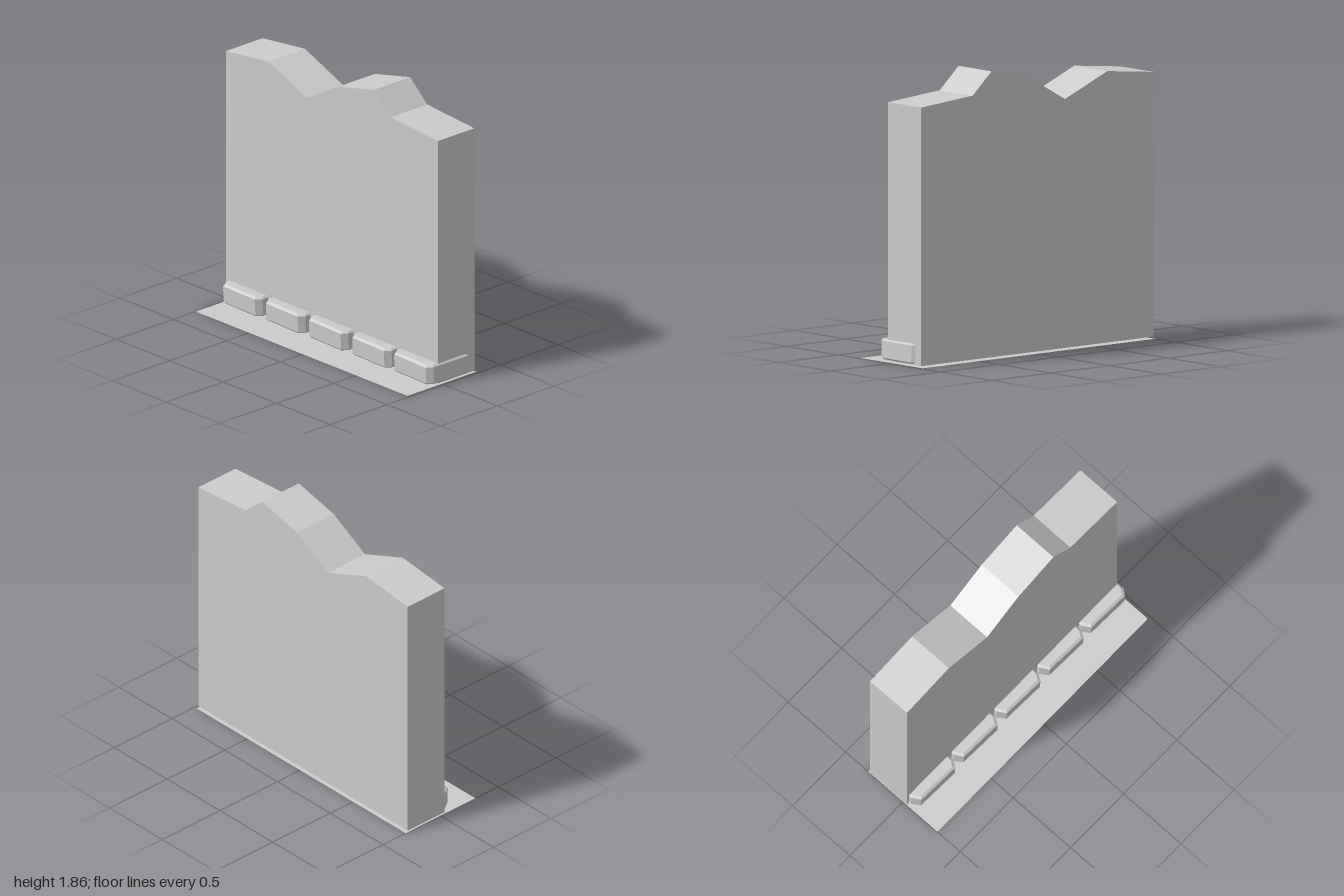
import * as THREE from 'three';

const grey = new THREE.MeshStandardMaterial({ color: 0xcccccc, flatShading: true });
const greyThin = new THREE.MeshStandardMaterial({ color: 0xcccccc, flatShading: true, side: THREE.DoubleSide });

// Plan of one chipped stone block (x, z), centred on x = 0
const blockPlan = [
  [-0.19, 0.055], [-0.155, 0.11], [0.155, 0.12], [0.185, 0.08],
  [0.19, -0.21], [0.165, -0.245], [-0.16, -0.245], [-0.19, -0.21],
];
// Levels of the block: height, inset in x and z
const blockLevels = [
  [0.018, 0.012, 0.012], [0.028, 0.0, 0.002], [0.138, 0.003, -0.003], [0.15, 0.016, 0.014],
];

// Stacks the plan into rings, joins them and caps both ends
function blockGeometry() {
  const n = blockPlan.length;
  const pos = [];
  const index = [];
  for (const [y, dx, dz] of blockLevels) {
    for (const [x, z] of blockPlan) {
      pos.push(x * (1 - dx / 0.19), y, -0.06 + (z + 0.06) * (1 - dz / 0.18));
    }
  }
  for (let l = 0; l < blockLevels.length - 1; l++) {
    for (let i = 0; i < n; i++) {
      const a = l * n + i, b = l * n + (i + 1) % n;
      index.push(a, b, b + n, a, b + n, a + n);
    }
  }
  const top = (blockLevels.length - 1) * n;
  for (let i = 1; i < n - 1; i++) {
    index.push(0, i + 1, i, top, top + i, top + i + 1);
  }
  const g = new THREE.BufferGeometry();
  g.setAttribute('position', new THREE.Float32BufferAttribute(pos, 3));
  g.setIndex(index);
  const flat = g.toNonIndexed();
  flat.computeVertexNormals();
  return flat;
}

export function createModel() {
  const group = new THREE.Group();

  // Thick wall with a broken top edge
  const outline = [
    [-1, 0.012], [0.98, 0.012], [0.98, 1.685], [0.54, 1.72], [0.38, 1.862],
    [0.05, 1.787], [-0.245, 1.622], [-0.605, 1.768], [-1, 1.725],
  ];
  const shape = new THREE.Shape(outline.map(([x, y]) => new THREE.Vector2(x, y)));
  const wallGeo = new THREE.ExtrudeGeometry(shape, { depth: 0.32, bevelEnabled: false });
  wallGeo.translate(0, 0, -0.285);
  const wall = new THREE.Mesh(wallGeo, grey);
  wall.name = 'wall';
  group.add(wall);

  // Thin ground sheet under the wall
  const sheetGeo = new THREE.PlaneGeometry(1.98, 0.605);
  sheetGeo.rotateX(-Math.PI / 2);
  const sheet = new THREE.Mesh(sheetGeo, greyThin);
  sheet.name = 'groundSheet';
  sheet.position.x = -0.01;
  group.add(sheet);

  // Row of stone blocks along the foot of the front
  const blocks = new THREE.Group();
  blocks.name = 'stoneBlocks';
  const blockGeo = blockGeometry();
  [-0.793, -0.393, 0.01, 0.415, 0.807].forEach((x, i) => {
    const block = new THREE.Mesh(blockGeo, grey);
    block.name = `stoneBlock${i + 1}`;
    block.position.x = x;
    blocks.add(block);
  });
  group.add(blocks);

  return group;
}
